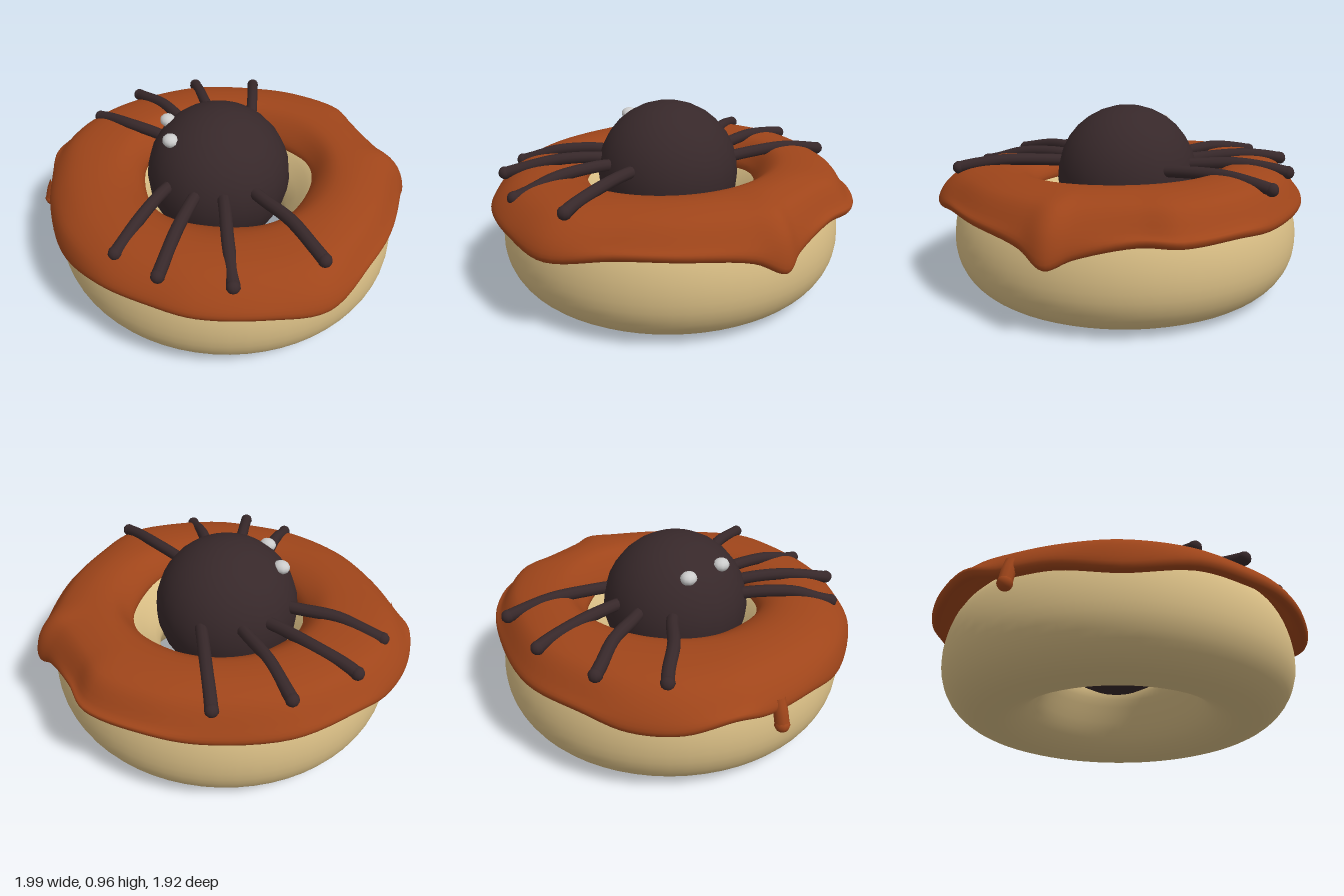
import * as THREE from 'three';

const material = (color) => new THREE.MeshStandardMaterial({ color, roughness: 0.8 });
const DOUGH = material(0xd9be85);
const ICING = material(0x9f451a);
const SPIDER = material(0x37282a);
const EYE = material(0xcccccc);

function mesh(name, geometry, mat, position = [0, 0, 0]) {
  const m = new THREE.Mesh(geometry, mat);
  m.name = name;
  m.position.set(...position);
  return m;
}

// Closed smooth ring: section(j) returns the points [r, y] of one slice at angle(j).
// Slices run up the outer wall, over the top, and back through the inside.
function ring(slices, samples, angle, section) {
  const pos = [], index = [];
  for (let j = 0; j < slices; j++) {
    const pts = section(j).map(([r, y]) => new THREE.Vector3(r, y, 0));
    const curve = new THREE.CatmullRomCurve3(pts, true, 'centripetal');
    const a = angle(j);
    for (let i = 0; i < samples; i++) {
      const p = curve.getPoint(i / samples);
      pos.push(p.x * Math.cos(a), p.y, p.x * Math.sin(a));
      const i2 = (i + 1) % samples, j2 = (j + 1) % slices;
      const A = j * samples + i, B = j * samples + i2;
      const C = j2 * samples + i, D = j2 * samples + i2;
      index.push(A, B, C, B, D, C);
    }
  }
  const g = new THREE.BufferGeometry();
  g.setAttribute('position', new THREE.Float32BufferAttribute(pos, 3));
  g.setIndex(index);
  g.computeVertexNormals();
  return g;
}

// Round-ended tube along a few points
function strand(name, points, radius, mat) {
  const group = new THREE.Group();
  group.name = name;
  const curve = new THREE.CatmullRomCurve3(points.map((p) => new THREE.Vector3(...p)));
  group.add(mesh(name + 'Tube', new THREE.TubeGeometry(curve, 14, radius, 10), mat));
  group.add(mesh(name + 'Tip', new THREE.SphereGeometry(radius * 1.08, 10, 8), mat, points[points.length - 1]));
  return group;
}

// Lower edge of the icing, all the way round: x, y, z
const RIM = [
  [-0.10, 0.49, -0.97], [-0.39, 0.49, -0.87], [-0.61, 0.46, -0.70], [-0.88, 0.46, -0.37],
  [-0.98, 0.47, -0.03], [-0.99, 0.44, 0.21], [-0.93, 0.45, 0.45], [-0.80, 0.49, 0.64],
  [-0.64, 0.45, 0.75], [-0.40, 0.44, 0.87], [-0.10, 0.40, 0.95], [0.25, 0.45, 0.92],
  [0.51, 0.46, 0.80], [0.70, 0.46, 0.67], [0.90, 0.46, 0.40], [1.00, 0.44, 0.13],
  [0.92, 0.48, -0.19], [0.81, 0.48, -0.44], [0.60, 0.45, -0.73], [0.50, 0.385, -0.85],
  [0.37, 0.43, -0.86], [0.09, 0.49, -0.92],
];

// Leg paths on the icing: base x, z, tip x, y, z
const LEGS = [
  [-0.21, -0.315, -0.62, 0.645, -0.635],
  [-0.34, -0.155, -0.825, 0.65, -0.33],
  [-0.395, -0.015, -0.92, 0.65, 0.025],
  [-0.375, 0.165, -0.84, 0.64, 0.335],
  [0.35, 0.06, 0.89, 0.65, 0.08],
  [0.30, 0.23, 0.745, 0.60, 0.49],
  [0.20, 0.35, 0.51, 0.62, 0.74],
  [0.05, 0.42, 0.255, 0.61, 0.82],
];

export function createModel() {
  const model = new THREE.Group();
  model.name = 'spiderDoughnut';

  // Dough ring, a touch narrower front to back
  const doughSection = [
    [0.67, 0.008], [0.78, 0.035], [0.87, 0.11], [0.922, 0.23], [0.915, 0.40], [0.85, 0.54],
    [0.68, 0.60], [0.52, 0.57], [0.43, 0.49], [0.345, 0.35], [0.39, 0.22], [0.48, 0.08], [0.58, 0.018],
  ];
  const dough = ring(64, 44, (j) => (j / 64) * Math.PI * 2, () => doughSection);
  dough.scale(1, 1, 0.98);
  model.add(mesh('dough', dough, DOUGH, [-0.014, 0, 0.008]));

  // Icing with an uneven, dripping edge; lowest at the front
  const slices = 132;
  const edge = new THREE.CatmullRomCurve3(RIM.map((p) => new THREE.Vector3(...p)), true, 'centripetal');
  const rim = (j) => edge.getPoint(1 - j / slices);
  const rimAngle = (j) => { const p = rim(j); return Math.atan2(p.z, p.x); };
  const icing = ring(slices, 44, rimAngle, (j) => {
    const p = rim(j), a = rimAngle(j);
    const R = Math.hypot(p.x, p.z), y = p.y;
    const crest = 0.675 - 0.018 * Math.sin(a) - 0.008 * Math.cos(a);
    const inner = 0.455 + 0.01 * Math.sin(5 * a + 1);
    return [
      [0.86, y + 0.05], [R - 0.045, y], [R - 0.014, y + 0.002], [R, y + 0.035],
      [R * 0.97, 0.545], [R * 0.895, crest - 0.05], [R * 0.81, crest - 0.015], [0.66, crest], [0.56, crest - 0.015],
      [inner + 0.025, 0.595], [inner, 0.54], [inner + 0.03, 0.50], [0.68, 0.55],
    ];
  });
  model.add(mesh('icing', icing, ICING));
  model.add(strand('icingDrip', [[-0.57, 0.51, 0.755], [-0.583, 0.45, 0.775], [-0.592, 0.385, 0.79]], 0.034, ICING));

  // Spider body sitting in the hole
  const spider = new THREE.Group();
  spider.name = 'spider';
  spider.add(mesh('body', new THREE.SphereGeometry(0.383, 24, 16), SPIDER, [-0.03, 0.588, 0.035]));

  // Eyes
  for (const [x, y, z] of [[-0.26, 0.855, 0.20], [-0.07, 0.865, 0.30]]) {
    const eye = mesh('eye', new THREE.SphereGeometry(1, 10, 8), EYE, [x, y, z]);
    eye.scale.set(0.047, 0.034, 0.042);
    spider.add(eye);
  }

  // Legs, each starting inside the body and resting on the icing
  LEGS.forEach(([bx, bz, tx, ty, tz], i) => {
    const at = (t, y) => [bx + (tx - bx) * t, y, bz + (tz - bz) * t];
    const bend = i % 2 ? 0.012 : -0.012;
    const mid = at(0.5, (0.69 + ty) / 2 + 0.018);
    mid[0] += bend;
    mid[2] += bend;
    spider.add(strand('leg', [at(-0.15, 0.67), at(0.1, 0.68), mid, at(0.85, ty + 0.015), at(0.98, ty)], 0.032, SPIDER));
  });
  model.add(spider);

  return model;
}
